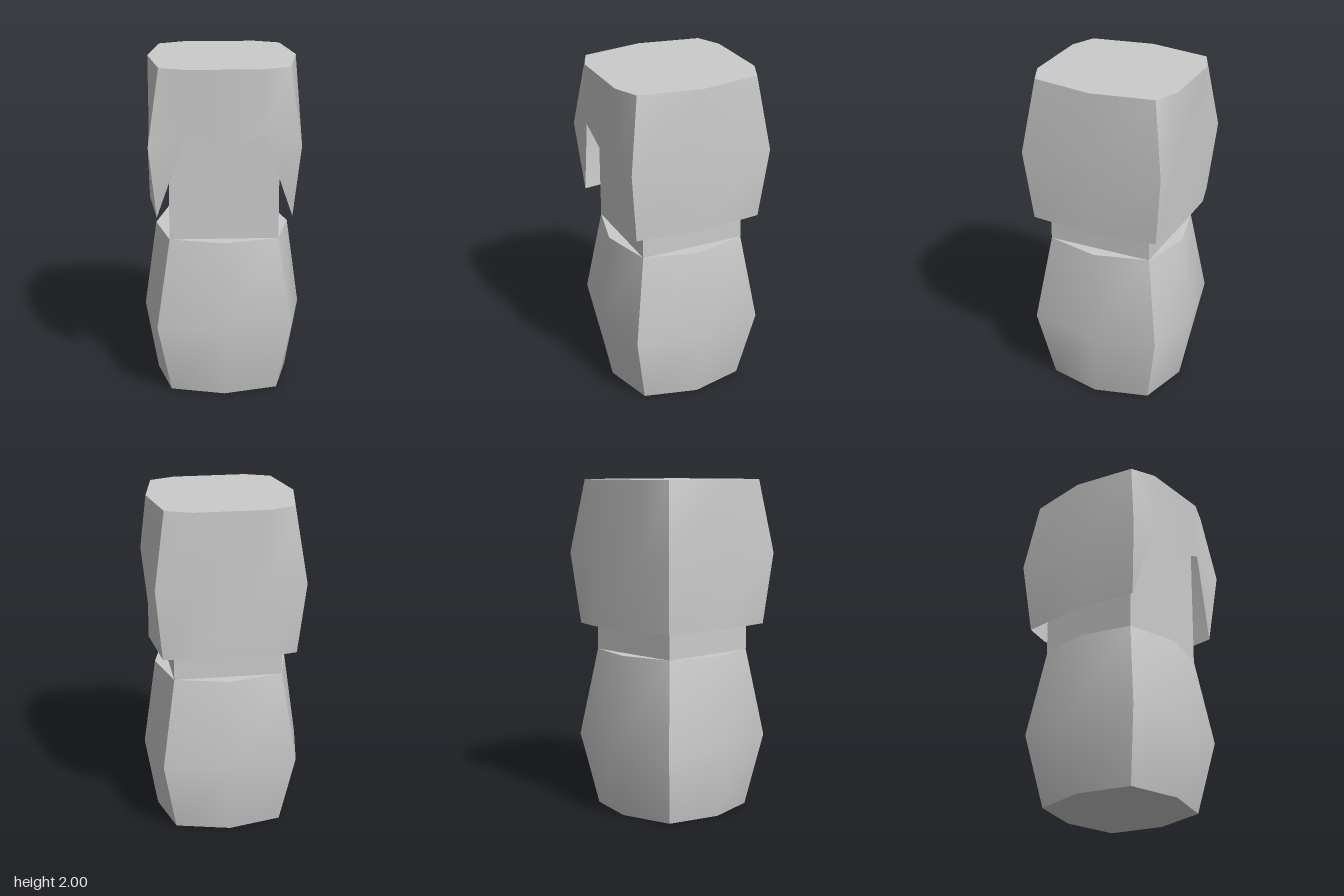
import * as THREE from 'three';

const grey = new THREE.MeshStandardMaterial({ color: 0xcccccc });
const openGrey = new THREE.MeshStandardMaterial({ color: 0xcccccc, side: THREE.DoubleSide });

// Smooth surface from points and triangle indices
function surface(points, index) {
  const g = new THREE.BufferGeometry();
  g.setAttribute('position', new THREE.Float32BufferAttribute(points.flat(), 3));
  g.setIndex(index);
  g.computeVertexNormals();
  return g;
}

// Grid of points: rows run top to bottom, columns left to right seen from outside
function patch(rows) {
  const n = rows[0].length, index = [];
  for (let r = 0; r < rows.length - 1; r++) {
    for (let c = 0; c < n - 1; c++) {
      const a = r * n + c;
      index.push(a, a + n, a + 1, a + 1, a + n, a + n + 1);
    }
  }
  return surface(rows.flat(), index);
}

// Flat horizontal cap facing up or down
function cap(outline, y, up) {
  const g = new THREE.ShapeGeometry(new THREE.Shape(outline.map(([x, z]) => new THREE.Vector2(x, z))));
  return g.rotateX(up ? -Math.PI / 2 : Math.PI / 2).translate(0, y, 0);
}

function add(group, name, geometry, material, turn = 0) {
  const mesh = new THREE.Mesh(geometry, material);
  mesh.name = name;
  mesh.rotation.y = turn;
  group.add(mesh);
}

export function createModel() {
  const model = new THREE.Group();
  const quarter = Math.PI / 2;

  // Barrel-shaped body: four bulged walls creased at the corners
  const body = new THREE.Group();
  body.name = 'body';
  const wall = patch([[0.97, 0.32, 0.4], [0.44, 0.4, 0.475], [0, 0.32, 0.4]].map(
    ([y, c, m]) => [[-c, y, c], [0, y, m], [c, y, c]]));
  for (let i = 0; i < 4; i++) add(body, 'bodyWall', wall, grey, i * quarter);
  const octagon = [[0.32, 0.32], [0, 0.4], [-0.32, 0.32], [-0.4, 0],
    [-0.32, -0.32], [0, -0.4], [0.32, -0.32], [0.4, 0]];
  add(body, 'bodyTop', cap(octagon, 0.97, true), grey);
  add(body, 'bodyBottom', cap(octagon, 0, false), grey);
  model.add(body);

  // Square head block, mostly inside the hair
  add(model, 'head', new THREE.BoxGeometry(0.64, 0.86, 0.64).translate(0, 1.4, 0), grey);

  // Hair shell, open below
  const hair = new THREE.Group();
  hair.name = 'hair';
  const w = 0.435;
  const levels = [[2, 0.37], [1.56, w], [1.13, 0.392]];
  const side = patch(levels.map(([y, c]) => [[-c, y, c], [0, y, w], [c, y, c]]));
  const back = patch(levels.map(([y, c]) => [[-c, y, c], [-0.22, y, w], [0.22, y, w], [c, y, c]]));
  add(hair, 'hairLeft', side, openGrey, quarter);
  add(hair, 'hairRight', side, openGrey, -quarter);
  add(hair, 'hairBack', back, openGrey, Math.PI);

  // Jagged fringe with long locks at both sides
  const fringe = surface([
    [-0.37, 2, 0.37], [-0.22, 2, w], [0.22, 2, w], [0.37, 2, 0.37],
    [w, 1.56, w], [0.392, 1.13, 0.392], [0.22, 1.63, w], [0, 1.54, w],
    [-0.22, 1.63, w], [-0.392, 1.13, 0.392], [-w, 1.56, w],
  ], [0, 10, 8, 0, 8, 1, 10, 9, 8, 1, 8, 7, 1, 7, 2, 2, 7, 6, 2, 6, 3, 3, 6, 4, 4, 6, 5]);
  add(hair, 'fringe', fringe, openGrey);

  const crown = [[0.37, 0.37], [0.22, w], [-0.22, w], [-0.37, 0.37], [-w, 0],
    [-0.37, -0.37], [-0.22, -w], [0.22, -w], [0.37, -0.37], [w, 0]];
  add(hair, 'crown', cap(crown, 2, true), openGrey);
  model.add(hair);

  return model;
}
